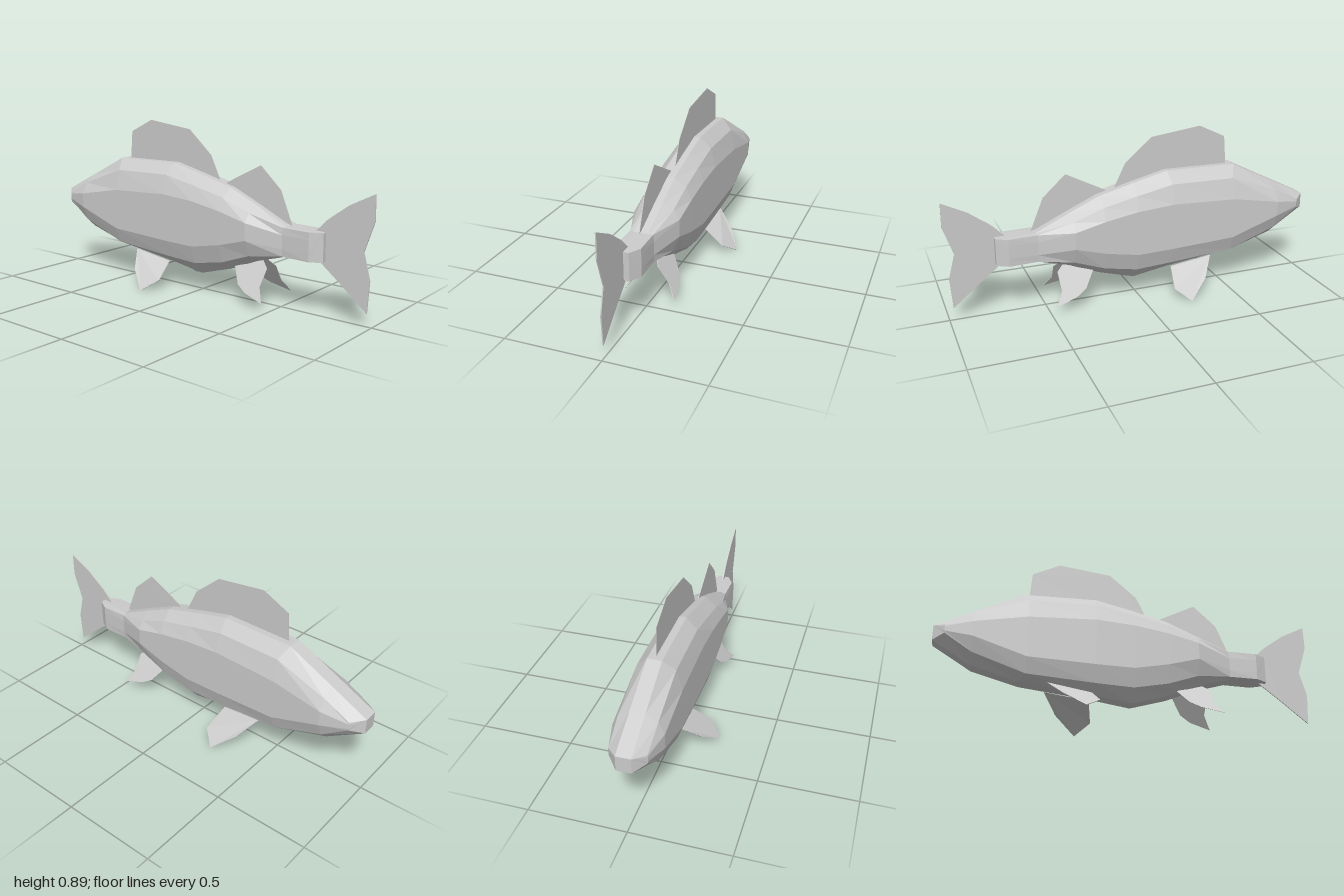
import * as THREE from 'three';

const material = new THREE.MeshStandardMaterial({ color: 0xcccccc, flatShading: true, side: THREE.DoubleSide });

function buildMesh(name, points, index) {
  const geo = new THREE.BufferGeometry();
  geo.setAttribute('position', new THREE.Float32BufferAttribute(points.flat(), 3));
  geo.setIndex(index);
  const flat = geo.toNonIndexed();
  flat.computeVertexNormals();
  const mesh = new THREE.Mesh(flat, material);
  mesh.name = name;
  return mesh;
}

// Twelve-sided rings: ridge x, flank x, six heights from back to belly, then upper/lower and widest half widths
const sections = [
  [-1.0, -0.94, 0.455, 0.44, 0.43, 0.405, 0.395, 0.375, 0.09, 0.092],
  [-0.8, -0.8, 0.555, 0.515, 0.455, 0.375, 0.3, 0.25, 0.095, 0.125],
  [-0.56, -0.53, 0.675, 0.615, 0.505, 0.285, 0.205, 0.182, 0.095, 0.125],
  [-0.17, -0.18, 0.68, 0.62, 0.52, 0.27, 0.18, 0.135, 0.095, 0.125],
  [0.02, 0.02, 0.635, 0.58, 0.505, 0.265, 0.17, 0.105, 0.095, 0.125],
  [0.21, 0.2, 0.585, 0.54, 0.475, 0.3, 0.205, 0.16, 0.095, 0.125],
  [0.38, 0.36, 0.51, 0.48, 0.435, 0.345, 0.262, 0.23, 0.09, 0.122],
  [0.55, 0.54, 0.43, 0.427, 0.39, 0.32, 0.283, 0.28, 0.06, 0.063],
  [0.75, 0.69, 0.425, 0.425, 0.39, 0.32, 0.28, 0.28, 0.062, 0.063],
];

function body() {
  const points = [];
  const index = [];
  sections.forEach(([xRidge, xSide, ...s], i) => {
    const ys = s.slice(0, 6);
    const ridge = i === sections.length - 1 ? 0.028 : 0.037;
    const zs = [ridge, s[6], s[7], s[7], s[6], ridge];
    const half = ys.map((y, k) => [k === 0 || k === 5 ? xRidge : xSide, y, zs[k]]);
    points.push(...half, ...half.map(([x, y, z]) => [x, y, -z]).reverse());
  });
  for (let i = 0; i < sections.length - 1; i++) {
    for (let k = 0; k < 12; k++) {
      const a = i * 12 + k, c = i * 12 + (k + 1) % 12;
      index.push(a, c, c + 12, a, c + 12, a + 12);
    }
  }
  // Chamfered end caps: a middle strip and a fan on each side
  const cap = [0, 5, 6, 0, 6, 11];
  for (let k = 1; k < 5; k++) cap.push(0, k, k + 1, 11, 10 - k, 11 - k);
  const last = (sections.length - 1) * 12;
  for (let t = 0; t < cap.length; t += 3) {
    const side = t >= 6 && (t / 3) % 2 === 1;
    const [a, b, c] = side ? [cap[t], cap[t + 1], cap[t + 2]] : [cap[t], cap[t + 2], cap[t + 1]];
    index.push(a, b, c);
    index.push(last + a, last + c, last + b);
  }
  return buildMesh('body', points, index);
}

// Thin slab from an outline of [x, y, z] points
function fin(name, outline, thickness = 0.004) {
  const contour = outline.map(([x, y]) => new THREE.Vector2(x, y));
  if (THREE.ShapeUtils.isClockWise(contour)) {
    contour.reverse();
    outline = [...outline].reverse();
  }
  const n = outline.length;
  const shift = (d) => outline.map(([x, y, z]) => [x, y, z + d]);
  const points = [...shift(thickness / 2), ...shift(-thickness / 2)];
  const index = [];
  for (const [a, b, c] of THREE.ShapeUtils.triangulateShape(contour, [])) {
    index.push(a, b, c, a + n, c + n, b + n);
  }
  for (let i = 0; i < n; i++) {
    const j = (i + 1) % n;
    index.push(i, i + n, j + n, i, j + n, j);
  }
  return buildMesh(name, points, index);
}

const atDepth = (pts, z) => pts.map(([x, y]) => [x, y, z]);

export function createModel() {
  const group = new THREE.Group();
  group.name = 'fish';
  group.add(body());

  // Fins along the middle plane
  group.add(fin('frontDorsalFin', atDepth([
    [-0.53, 0.65], [-0.515, 0.825], [-0.37, 0.895], [-0.095, 0.86],
    [0.05, 0.735], [0.115, 0.6], [0.02, 0.61], [-0.17, 0.65],
  ], -0.002), 0.003));
  group.add(fin('rearDorsalFin', atDepth([
    [0.11, 0.59], [0.155, 0.6], [0.37, 0.71], [0.49, 0.6], [0.56, 0.43], [0.38, 0.48],
  ], 0.004)));
  group.add(fin('tailFin', atDepth([
    [0.69, 0.42], [0.76, 0.49], [0.87, 0.57], [0.998, 0.635], [1, 0.51], [0.95, 0.36],
    [0.985, 0.23], [0.975, 0.07], [0.83, 0.19], [0.69, 0.3],
  ], 0.003), 0.006));

  // Paired fins splaying out below
  for (const [side, s] of [['left', 1], ['right', -1]]) {
    // "left" faces +z here because the body lies along x
    group.add(fin(side + 'PectoralFin', [
      [-0.42, 0.175, 0.07], [-0.35, 0.09, 0.165], [-0.24, 0.006, 0.238],
      [-0.165, 0.06, 0.175], [-0.19, 0.14, 0.06],
    ].map(([x, y, z]) => [x, y, s * z]), 0.008));
    group.add(fin(side + 'PelvicFin', [
      [0.25, 0.185], [0.305, 0.11], [0.36, 0.08], [0.475, 0.05],
      [0.435, 0.115], [0.44, 0.2], [0.4, 0.235],
    ].map(([x, y]) => [x, y, s * (0.02 + (0.23 - y) * 0.66)]), 0.003));
  }
  // Rest the lowest fin tips on the ground
  group.position.y = -0.006;
  return group;
}
